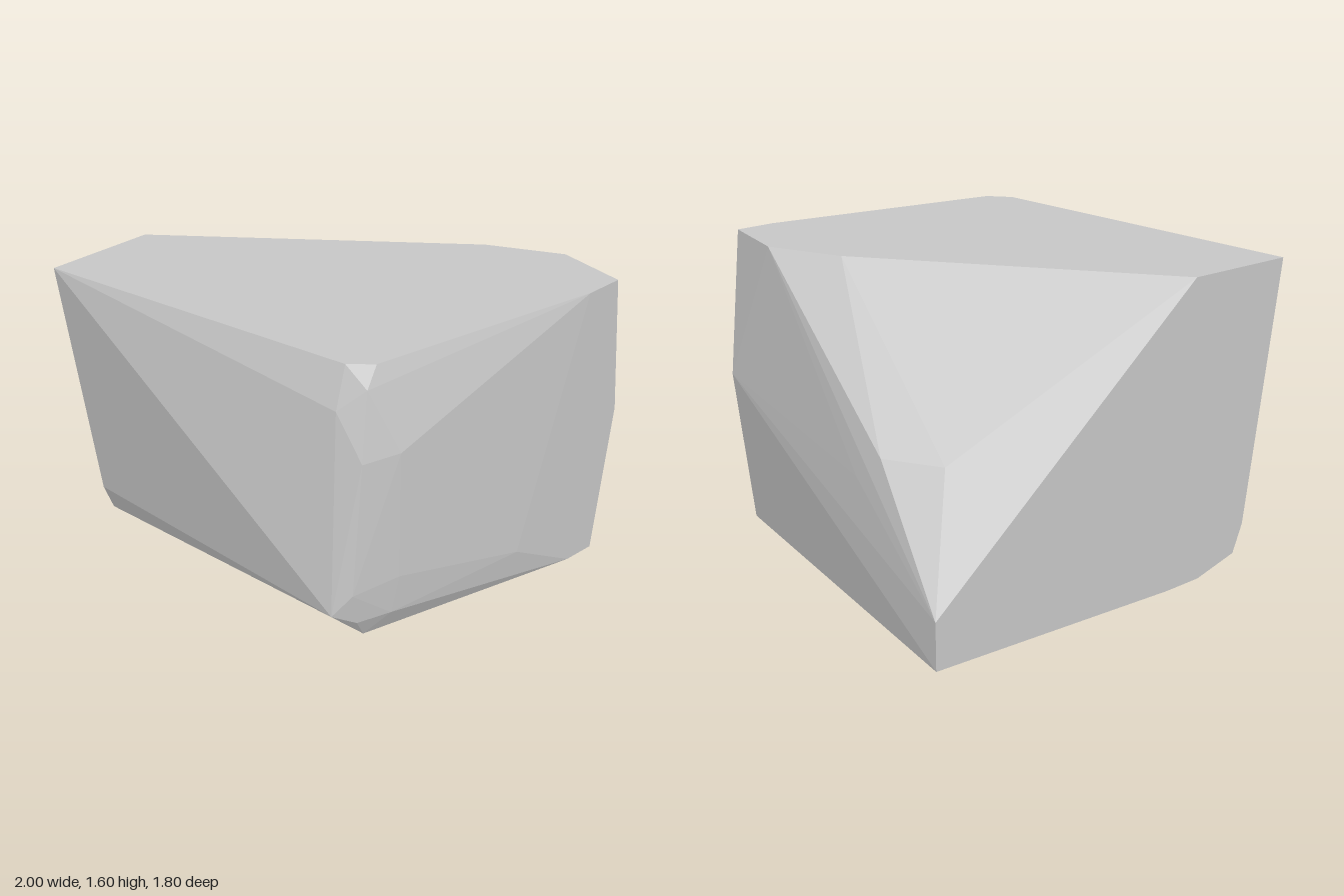
import * as THREE from 'three';
import { ConvexGeometry } from 'three/addons/geometries/ConvexGeometry.js';

// Faceted boulder: the convex skin around its chipped corners
const corners = {
  top: [
    [-1, 1.595, -0.905], [-0.48, 1.595, -0.905], [0.7, 1.595, 0.25], [0.92, 1.595, 0.57],
    [0.92, 1.595, 0.9], [0.73, 1.595, 0.9], [-0.42, 1.595, 0.72], [-0.52, 1.595, 0.63],
  ],
  rightSide: [
    [1, 0.85, 0.9], [0.92, 0.025, 0.9], [0.92, 0.02, -0.905],
    [0.92, 0.27, -0.905], [0.892, 0.86, -0.41], [0.933, 0.72, -0.25],
  ],
  back: [
    [0.69, 0.85, -0.63], [-0.85, 0.25, -0.905], [-0.8, 0.1, -0.905],
    [-0.58, 0.025, -0.905], [-0.39, 0.015, -0.905],
  ],
  front: [
    [-0.49, 1.5, 0.74], [-0.59, 1.39, 0.65], [-0.56, 1.17, 0.79], [-0.37, 1.17, 0.833],
    [-0.62, 0.47, 0.8], [-0.37, 0.48, 0.84], [0.36, 0.28, 0.9], [-0.71, 0.37, 0.755],
    [-0.58, 0.28, 0.785], [-0.4, 0.27, 0.822],
  ],
  underside: [[-0.5, 0.14, 0.74], [0.45, 0.085, 0.875], [0.75, 0.03, 0.9], [0.75, 0, 0]],
};

export function createModel() {
  const group = new THREE.Group();
  group.name = 'boulder';

  const stone = new THREE.MeshStandardMaterial({ color: 0xc6c6c6, flatShading: true });
  stone.name = 'grey stone';

  const points = Object.values(corners).flat().map((p) => new THREE.Vector3(...p));
  const rock = new THREE.Mesh(new ConvexGeometry(points), stone);
  rock.name = 'rock';
  group.add(rock);
  return group;
}
